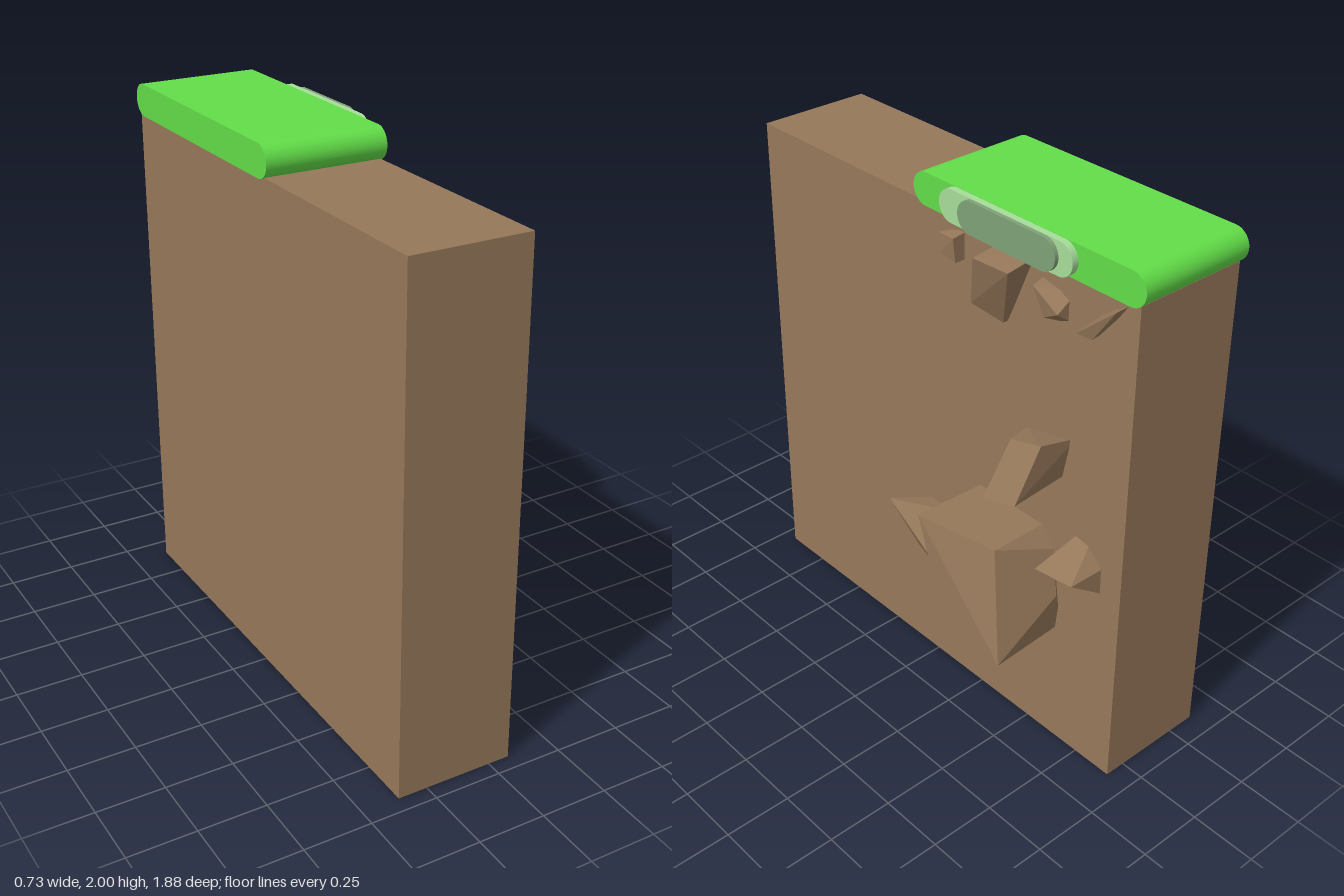
import * as THREE from 'three';
import { ConvexGeometry } from 'three/addons/geometries/ConvexGeometry.js';

const earth = new THREE.MeshStandardMaterial({ color: 0x96785a, flatShading: true });
const paint = (color) => new THREE.MeshStandardMaterial({ color });

// Slab with rounded ends along z, extruded across x
function pill(name, x0, x1, z0, z1, y0, y1, color) {
  const r = (y1 - y0) / 2, cy = (y0 + y1) / 2;
  const s = new THREE.Shape();
  s.absarc(-z0 - r, cy, r, -Math.PI / 2, Math.PI / 2, false);
  s.absarc(-z1 + r, cy, r, Math.PI / 2, Math.PI * 1.5, false);
  s.closePath();
  const g = new THREE.ExtrudeGeometry(s, { depth: x1 - x0, bevelEnabled: false, curveSegments: 20 });
  g.rotateY(Math.PI / 2).translate(x0, 0, 0);
  const m = new THREE.Mesh(g, paint(color));
  m.name = name;
  return m;
}

// Faceted stone from its corner points [x, y, z]
function rock(name, corners) {
  const m = new THREE.Mesh(new ConvexGeometry(corners.map((c) => new THREE.Vector3(...c))), earth);
  m.name = name;
  return m;
}

export function createModel() {
  const group = new THREE.Group();

  // Earth wall
  const wall = new THREE.Mesh(new THREE.BoxGeometry(0.44, 1.89, 1.85), earth);
  wall.position.set(-0.14, 0.945, 0.015);
  wall.name = 'earthWall';
  group.add(wall);

  // Grass cap over the rear half, with two layered patches on its side
  group.add(
    pill('grassCap', -0.365, 0.09, -0.935, 0.1, 1.88, 2, 0x62dd48),
    pill('paleGrassPatch', 0.05, 0.115, -0.66, -0.055, 1.881, 1.999, 0xa6dd99),
    pill('greyGrassPatch', 0.05, 0.13, -0.6, -0.16, 1.882, 1.998, 0x7fa178)
  );

  // Stones sticking out of the left face
  group.add(
    rock('largeRock', [
      [0.36, 0.9, -0.22], [0.3, 0.9, -0.54], [0.36, 0.49, -0.63], [0.36, 0.55, -0.34],
      [0.05, 0.9, -0.23], [0.05, 0.9, -0.54], [0.08, 0.83, -0.6], [0.1, 0.66, -0.64],
      [0.05, 0.5, -0.62], [0.08, 0.41, -0.32], [0.08, 0.43, -0.25], [0.08, 0.56, -0.22]]),
    rock('lowerRock', [
      [0.235, 0.745, 0.09], [0.235, 0.575, -0.18], [0.13, 0.5, 0.05], [0.05, 0.5, 0.04],
      [0.05, 0.58, 0.11], [0.08, 0.62, 0.1], [0.05, 0.7, 0.02], [0.05, 0.69, -0.11], [0.05, 0.56, -0.15]]),
    rock('middleRock', [
      [0.21, 1.33, -0.65], [0.2, 1.28, -0.5], [0.32, 1.15, -0.65], [0.32, 1.1, -0.5],
      [0.13, 1.05, -0.43], [0.08, 1.25, -0.45], [0.05, 1.29, -0.65], [0.05, 1.06, -0.46], [0.05, 1.14, -0.62]]),
    rock('rearRock', [
      [0.25, 0.88, -0.68], [0.21, 0.86, -0.81], [0.05, 0.95, -0.7], [0.06, 0.94, -0.75],
      [0.06, 0.87, -0.82], [0.08, 0.77, -0.82], [0.06, 0.77, -0.75], [0.05, 0.86, -0.67]]),
    rock('hangingRock', [
      [0.2, 1.86, -0.31], [0.19, 1.86, -0.46], [0.15, 1.66, -0.25], [0.1, 1.61, -0.35],
      [0.05, 1.87, -0.3], [0.05, 1.88, -0.46], [0.05, 1.66, -0.25], [0.05, 1.61, -0.35]]),
    rock('frontPebble', [
      [0.13, 1.84, -0.07], [0.13, 1.84, -0.14], [0.13, 1.77, -0.08], [0.12, 1.75, -0.14],
      [0.05, 1.85, -0.14], [0.05, 1.83, -0.06], [0.05, 1.78, -0.06], [0.05, 1.75, -0.14]]),
    rock('middlePebble', [
      [0.13, 1.82, -0.51], [0.13, 1.76, -0.62], [0.12, 1.72, -0.55], [0.06, 1.83, -0.5],
      [0.05, 1.81, -0.62], [0.05, 1.7, -0.62], [0.05, 1.7, -0.56], [0.05, 1.8, -0.49]]),
    rock('rearSliver', [
      [0.14, 1.74, -0.71], [0.12, 1.73, -0.76], [0.12, 1.86, -0.85], [0.05, 1.88, -0.87],
      [0.05, 1.75, -0.71], [0.05, 1.73, -0.75], [0.05, 1.82, -0.77]])
  );
  return group;
}
